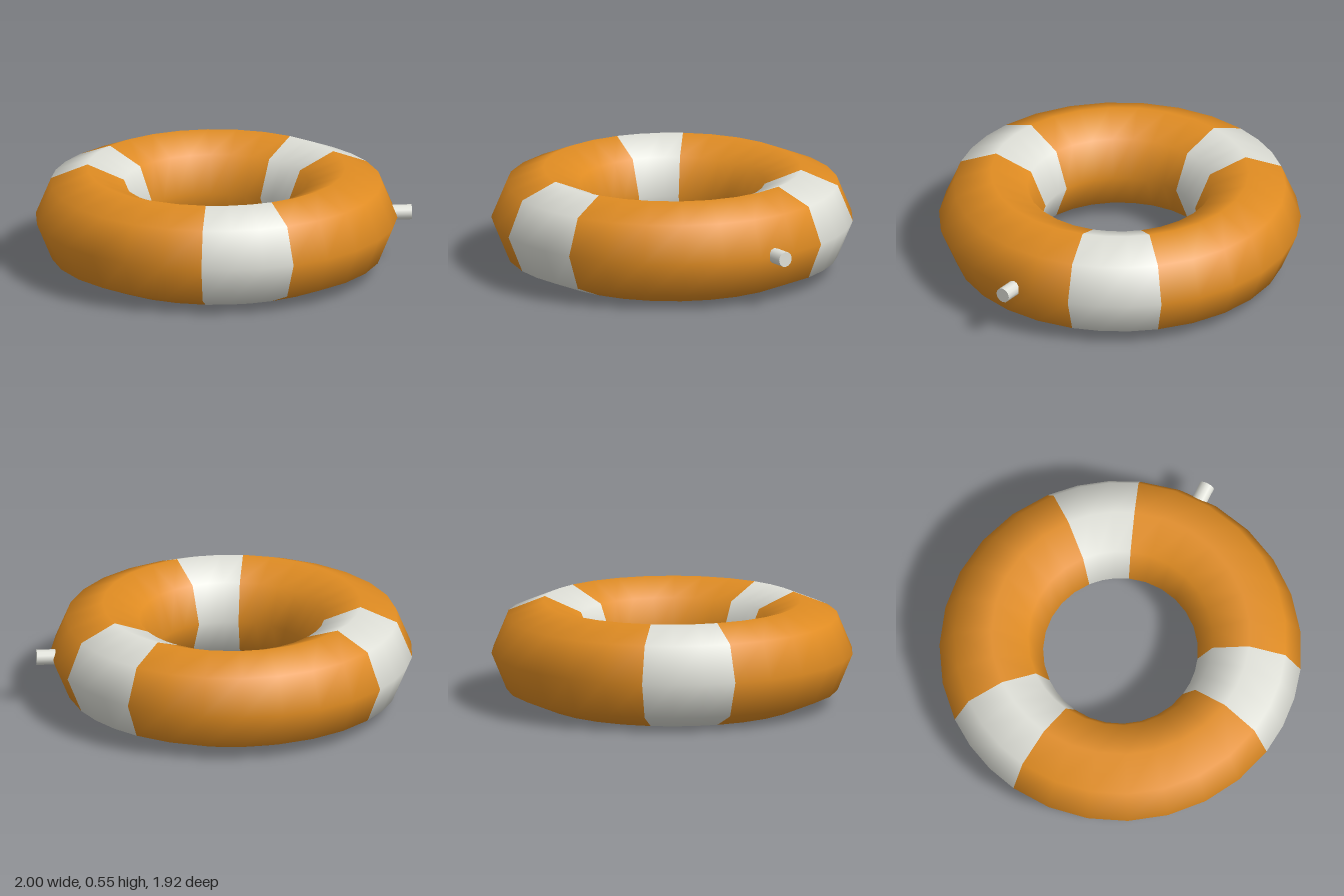
import * as THREE from 'three';

export function createModel() {
  const orange = new THREE.MeshStandardMaterial({ color: 0xe08c22 });
  orange.name = 'orange';
  const white = new THREE.MeshStandardMaterial({ color: 0xdfe0d8 });
  white.name = 'offWhite';

  const model = new THREE.Group();
  model.name = 'swimRing';
  const RING = 0.686, TUBE = 0.275, CENTRE_X = -0.04;

  // One arc of the eight-sided tube, angles run from +x towards +z
  function arc(name, startDeg, sweepDeg, segments, material) {
    const geo = new THREE.TorusGeometry(RING, TUBE, 8, segments, THREE.MathUtils.degToRad(sweepDeg));
    geo.rotateZ(THREE.MathUtils.degToRad(startDeg));
    geo.rotateX(Math.PI / 2);
    const mesh = new THREE.Mesh(geo, material);
    mesh.name = name;
    mesh.position.set(CENTRE_X, TUBE, 0);
    model.add(mesh);
  }

  // Three stripes alternating with three orange sections
  for (let i = 0; i < 3; i++) {
    const start = 70 + i * 120;
    arc('stripe' + (i + 1), start, 30, 3, white);
    arc('tubeSection' + (i + 1), start + 30, 90, 7, orange);
  }

  // Inflation valve on the outer rim
  const valve = new THREE.Mesh(new THREE.CylinderGeometry(0.041, 0.041, 0.12, 12), white);
  valve.name = 'valve';
  valve.rotation.z = -Math.PI / 2;
  valve.position.set(0.94, TUBE, 0);
  model.add(valve);

  return model;
}
